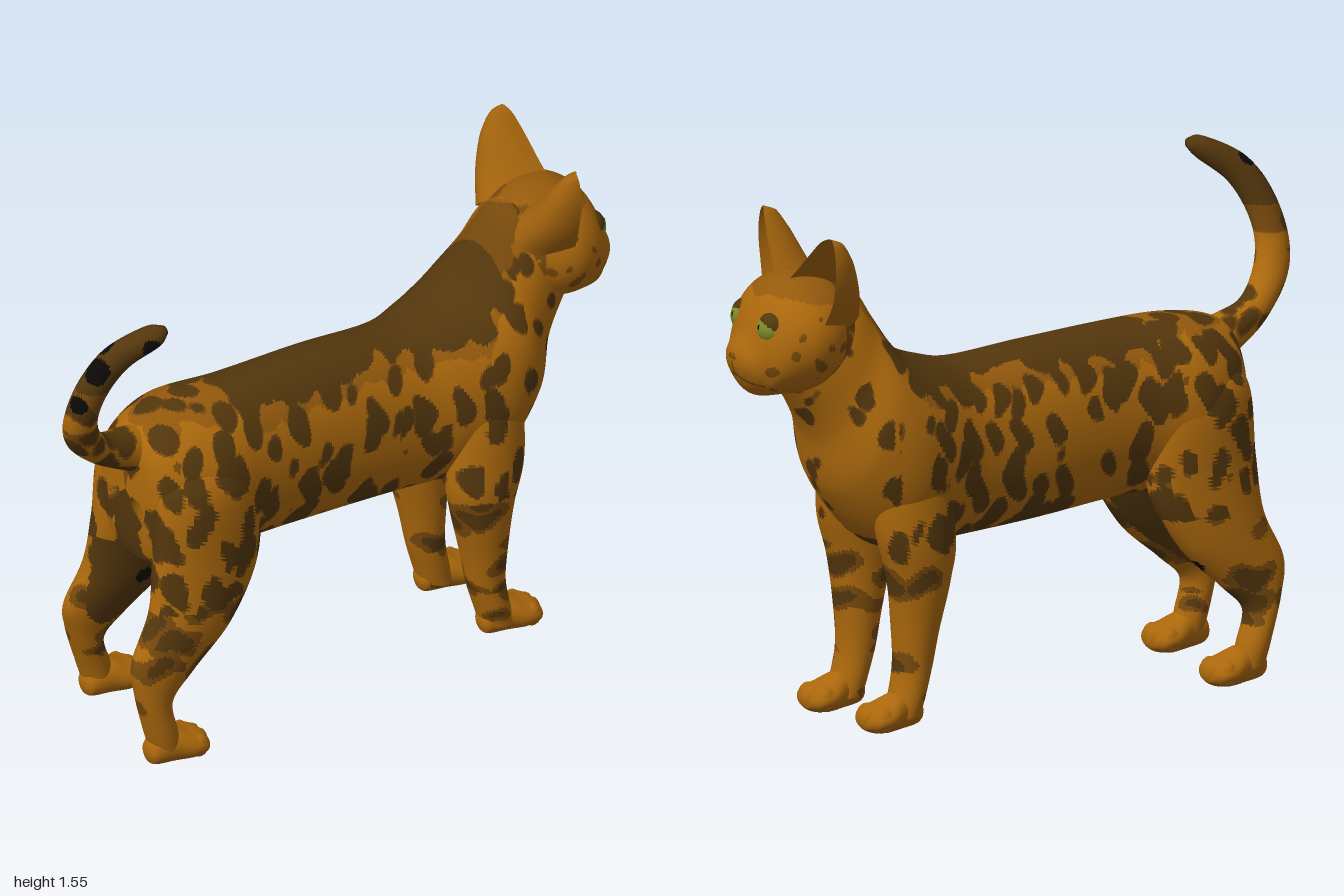
import * as THREE from 'three';

const mat = (name, color) => Object.assign(new THREE.MeshStandardMaterial({ color }), { name });
const ORANGE = 0, BROWN = 1, DARK = 2, BLACK = 3, TAWNY = 4;

// Seeded spots: distance to the nearest jittered cell point, warped a little
const hash = (x, y, z) => {
  let h = Math.imul(x, 374761393) ^ Math.imul(y, 668265263) ^ Math.imul(z, 1274126177);
  h = Math.imul(h ^ (h >>> 13), 1103515245);
  h = Math.imul(h ^ (h >>> 15), 747796405);
  return ((h ^ (h >>> 16)) >>> 0) / 4294967295;
};
function spot(x, y, z, cx, cy, cz) {
  const p = [(x + 0.012 * Math.sin(y * 37 + z * 21)) / cx, (y + 0.015 * Math.sin(x * 41 + z * 13)) / cy, z / cz];
  const c = p.map(Math.floor);
  let best = 9;
  for (let k = 0; k < 27; k++) {
    const q = [c[0] + (k % 3) - 1, c[1] + (Math.floor(k / 3) % 3) - 1, c[2] + Math.floor(k / 9) - 1];
    const d = q.map((v, i) => v + hash(q[0] + i * 57, q[1] + i * 113, q[2] + 9) - p[i]);
    best = Math.min(best, Math.hypot(...d));
  }
  return best;
}
const near = (x, y, z, [a, b, c, r]) => Math.hypot(x - a, y - b, z - c) < r;

// Coat rules: position -> colour index
function bodyCoat(x, y, z) {
  const az = Math.abs(z);
  // black mark on one hind leg, dark inner thighs and seat
  if (near(x, y, z, [-0.48, 0.37, -0.2, 0.026]) || near(x, y, z, [-0.56, 0.46, -0.1, 0.03])) return BLACK;
  if (x < -0.36 && y > 0.24 && y < 0.62 && z > -0.17 && z < 0.13) return DARK;
  if (x < -0.68 && y < 0.85 && az < 0.06) return DARK;
  // bars on the lower legs
  if (y < 0.52 && az > 0.02) {
    const d = spot(x, y, z, 0.19, 0.1, 0.19);
    const r = y < 0.18 ? 0.25 : 0.47;
    return d > r ? ORANGE : d > r - 0.13 ? BROWN : DARK;
  }
  const d = spot(x, y, z, 0.077, 0.135, 0.1);
  const edge = 0.08 * (0.5 - d);
  // back stripe, nape and the shaded fur beside them
  const line = x < -0.38 ? 1.12 : Math.max(1.025, 1.07 + (x - 0.5) * 1.9);
  if (y + edge > line) return x < 0.57 ? DARK : BROWN;
  // belly
  if (x > -0.33 && x < 0.33 && y - edge < 0.575) return d < 0.5 ? DARK : BROWN;
  const r = x > 0.6 ? 0.32 : x > 0.42 ? 0.43 : 0.5;
  if (d < r) return DARK;
  if (d < r + 0.03) return BROWN;
  return y + edge > (x < -0.38 ? 1.05 : line - 0.04) ? TAWNY : ORANGE;
}
const tailMarks = [[-0.95, 1.43, 0.16, 0.045], [-0.9, 1.5, 0.13, 0.035], [-0.98, 1.31, 0.12, 0.03], [-0.8, 1.5, 0.24, 0.028]];
function tailCoat(x, y, z) {
  if (tailMarks.some(m => near(x, y, z, m))) return BLACK;
  const d = spot(x, y, z, 0.1, 0.09, 0.1);
  if (y < 1.27 && d > 0.53) return ORANGE;
  return d > 0.46 && y < 1.35 ? BROWN : DARK;
}
function headCoat(x, y, z) {
  const az = Math.abs(z);
  // nose and mouth
  if (x > 0.17 && y > -0.07 && y < -0.047 && az < 0.024 + (y + 0.047) * 0.6) return BROWN;
  if (x > 0.1 && y < -0.06 && y > -0.105 && az < 0.004) return BROWN;
  if (x > 0.06 && az < 0.095 && Math.abs(y + 0.105 + az * 0.3) < 0.0045) return BROWN;
  // nape, crown and cheek marks
  const d = spot(x, y, az, 0.09, 0.08, 0.09);
  if (x < -0.09 && d < 0.6) return BROWN;
  if (y + 0.04 * d > 0.15) return TAWNY;
  return d < 0.25 && az > 0.1 && y < 0.1 ? BROWN : ORANGE;
}

// Smooth skin through oval rings [ax, ay, bx, by, z, halfWidth]; a and b are opposite edge points
function loft(name, rings, n, m, coat, mats, power = 1) {
  const curve = f => new THREE.CatmullRomCurve3(rings.map(r => new THREE.Vector3(...f(r))), false, 'catmullrom');
  const A = curve(r => [r[0], r[1], r[4]]), B = curve(r => [r[2], r[3], r[5]]);
  const middle = curve(r => [(r[0] + r[2]) / 2, (r[1] + r[3]) / 2, r[4]]);
  const pos = [], tris = mats.map(() => []);
  const pw = c => Math.sign(c) * Math.abs(c) ** power;
  for (let i = 0; i <= m; i++) {
    const u = middle.getUtoTmapping(i / m), a = A.getPoint(u), b = B.getPoint(u), w = Math.max(b.z, 0.002);
    for (let j = 0; j < n; j++) {
      const t = (j / n) * Math.PI * 2, c = pw(Math.cos(t)) / 2;
      pos.push((a.x + b.x) / 2 + (a.x - b.x) * c, (a.y + b.y) / 2 + (a.y - b.y) * c, a.z + w * pw(Math.sin(t)));
    }
  }
  const end = pos.length / 3;
  for (const r of [rings[0], rings.at(-1)]) pos.push((r[0] + r[2]) / 2, (r[1] + r[3]) / 2, r[4]);
  const add = (...v) => {
    const p = [0, 1, 2].map(k => v.reduce((s, q) => s + pos[q * 3 + k], 0) / 3);
    tris[coat(...p)].push(...v);
  };
  for (let j = 0; j < n; j++) {
    const k = (j + 1) % n;
    add(end, k, j);
    add(end + 1, m * n + j, m * n + k);
    for (let i = 0; i < m; i++) {
      const a = i * n + j, b = i * n + k;
      add(a, b, a + n);
      add(b, b + n, a + n);
    }
  }
  const g = new THREE.BufferGeometry();
  g.setAttribute('position', new THREE.Float32BufferAttribute(pos, 3));
  g.setIndex(tris.flat());
  let start = 0;
  tris.forEach((t, i) => { if (t.length) g.addGroup(start, t.length, i); start += t.length; });
  g.computeVertexNormals();
  return Object.assign(new THREE.Mesh(g, mats), { name });
}

// Cupped ear: half-oval sections between an outer and an inner edge
function ear(side, material) {
  const curve = p => new THREE.CatmullRomCurve3(p.map(q => new THREE.Vector3(q[0], q[1], q[2] * side)));
  const O = curve([[0, 0.03, 0.185], [-0.015, 0.14, 0.243], [-0.015, 0.25, 0.262], [-0.015, 0.315, 0.247], [-0.015, 0.333, 0.23]]);
  const I = curve([[0.04, 0.16, 0.03], [0.03, 0.2, 0.075], [0.015, 0.27, 0.145], [0, 0.32, 0.195], [-0.01, 0.333, 0.22]]);
  const g = new THREE.PlaneGeometry(1, 1, 24, 24), p = g.attributes.position, uv = g.attributes.uv;
  for (let i = 0; i < p.count; i++) {
    const t = uv.getY(i), f = uv.getX(i) * Math.PI;
    const q = I.getPoint(t).lerp(O.getPoint(t), (1 + Math.cos(f)) / 2);
    p.setXYZ(i, q.x - 0.18 * (1 - t) * Math.sin(f), q.y, q.z);
  }
  g.computeVertexNormals();
  return Object.assign(new THREE.Mesh(g, material), { name: side > 0 ? 'leftEar' : 'rightEar' });
}

export function createModel() {
  const cat = new THREE.Group();
  cat.name = 'cat';
  const coat = [
    mat('orangeFur', 0xab680c), mat('brownFur', 0x76480c), mat('darkFur', 0x53360c),
    mat('black', 0x0c0a08), mat('tawnyFur', 0x94590c),
  ];
  const earFur = mat('earFur', 0xa0610c);
  earFur.side = THREE.DoubleSide;
  const green = mat('eyeGreen', 0x7c8a28);
  const ball = (name, r, m, p, s, n = 20) => {
    const b = new THREE.Mesh(new THREE.SphereGeometry(r, n, n * 0.7), m);
    b.name = name;
    b.position.set(...p);
    b.scale.set(...s);
    return b;
  };

  // Torso and neck
  cat.add(loft('torso', [
    [-0.715, 0.93, -0.715, 0.8, 0, 0.03], [-0.705, 1.03, -0.705, 0.68, 0, 0.12],
    [-0.65, 1.075, -0.66, 0.6, 0, 0.19], [-0.5, 1.1, -0.5, 0.57, -0.01, 0.235],
    [-0.3, 1.1, -0.32, 0.575, 0, 0.2], [0, 1.09, 0, 0.55, 0, 0.19],
    [0.25, 1.075, 0.25, 0.535, 0.01, 0.19], [0.38, 1.1, 0.4, 0.53, 0.015, 0.22],
    [0.48, 1.14, 0.56, 0.55, 0.02, 0.245], [0.53, 1.19, 0.7, 0.72, 0.03, 0.23],
    [0.575, 1.27, 0.75, 0.9, 0.045, 0.185], [0.63, 1.36, 0.82, 1.03, 0.055, 0.16],
    [0.7, 1.38, 0.88, 1.1, 0.06, 0.12],
  ], 128, 230, bodyCoat, coat, 0.92));

  // Tail
  cat.add(loft('tail', [
    [-0.64, 0.9, -0.6, 1.05, 0, 0.08], [-0.74, 0.945, -0.7, 1.07, 0, 0.065],
    [-0.86, 1.02, -0.8, 1.095, 0.02, 0.055], [-0.97, 1.13, -0.87, 1.165, 0.06, 0.052],
    [-1, 1.24, -0.895, 1.25, 0.09, 0.05], [-0.97, 1.38, -0.88, 1.34, 0.125, 0.047],
    [-0.9, 1.49, -0.84, 1.42, 0.165, 0.045], [-0.79, 1.552, -0.77, 1.485, 0.215, 0.04],
    [-0.745, 1.55, -0.74, 1.52, 0.23, 0.015],
  ], 36, 100, tailCoat, coat));

  // Paw with softly marked toes and a black pad; x is the heel, z the centre
  const paw = (name, x, z) => {
    const g = new THREE.Group();
    g.name = name;
    const pad = (px, py, pz) => (py < 0.014 && Math.hypot((px - x - 0.125) / 0.06, (pz - z) / 0.055) < 1 ? BLACK : ORANGE);
    g.add(loft('foot', [
      [x, 0.07, x, 0.04, z, 0.02], [x + 0.015, 0.1, x + 0.015, 0.015, z, 0.038],
      [x + 0.08, 0.12, x + 0.08, 0.006, z, 0.056], [x + 0.135, 0.1, x + 0.135, 0.004, z, 0.076],
      [x + 0.18, 0.085, x + 0.18, 0.01, z, 0.07], [x + 0.203, 0.06, x + 0.203, 0.025, z, 0.03],
    ], 40, 28, pad, coat));
    for (const k of [-1.5, -0.5, 0.5, 1.5])
      g.add(ball('toe', 0.03, coat[ORANGE], [x + 0.176 - k * k * 0.009, 0.05, z + k * 0.034], [1.05, 1.2, 0.8], 12));
    cat.add(g);
  };

  // Front legs
  for (const [side, zc, s] of [['left', 0, 1], ['right', 0.06, -1]]) {
    cat.add(loft(side + 'FrontLeg', [
      [0.57, 0.95, 0.46, 0.97, 0.12, 0.04], [0.62, 0.8, 0.38, 0.82, 0.155, 0.095],
      [0.615, 0.62, 0.355, 0.58, 0.182, 0.1], [0.575, 0.47, 0.375, 0.45, 0.185, 0.09],
      [0.555, 0.32, 0.413, 0.3, 0.18, 0.077], [0.55, 0.2, 0.435, 0.19, 0.178, 0.066],
      [0.568, 0.1, 0.462, 0.1, 0.18, 0.064], [0.59, 0.04, 0.48, 0.04, 0.18, 0.06],
    ].map(r => [...r.slice(0, 4), zc + s * r[4], r[5]]), 48, 90, bodyCoat, coat));
    paw(side + 'FrontPaw', 0.47, zc + s * 0.182);
  }

  // Hind legs: the right one stands further out and forward
  for (const [side, s, dx, dz] of [['left', 1, 0, 0], ['right', -1, 0.08, 0.075]]) {
    cat.add(loft(side + 'HindLeg', [
      [-0.45, 1.0, -0.6, 1.0, 0.11, 0.04, 0], [-0.36, 0.86, -0.69, 0.9, 0.14, 0.1, 0],
      [-0.345, 0.62, -0.715, 0.68, 0.15, 0.1, 0.1], [-0.45, 0.43, -0.74, 0.51, 0.165, 0.087, 0.3],
      [-0.6, 0.3, -0.815, 0.37, 0.175, 0.064, 0.6], [-0.685, 0.22, -0.81, 0.27, 0.18, 0.052, 0.8],
      [-0.67, 0.12, -0.775, 0.13, 0.18, 0.054, 1], [-0.65, 0.05, -0.75, 0.05, 0.18, 0.05, 1],
    ].map(([ax, ay, bx, by, z, w, f]) => [ax + dx * f, ay, bx + dx * f, by, s * (z + dz * f), w]), 48, 90, bodyCoat, coat));
    paw(side + 'HindPaw', -0.77 + dx * 1.1, s * (0.18 + dz * 0.9));
  }

  // Head, turned slightly to its left
  const head = new THREE.Group();
  head.name = 'head';
  head.position.set(0.8, 1.22, 0.06);
  head.rotation.y = -0.15;
  head.add(loft('skull', [
    [-0.17, 0.06, -0.17, -0.02, 0, 0.03], [-0.15, 0.13, -0.14, -0.1, 0, 0.13],
    [-0.08, 0.178, -0.06, -0.16, 0, 0.195], [0, 0.19, 0, -0.175, 0, 0.217],
    [0.06, 0.175, 0.06, -0.177, 0, 0.203], [0.11, 0.14, 0.11, -0.178, 0, 0.17],
    [0.145, 0.085, 0.14, -0.172, 0, 0.125], [0.168, 0.02, 0.165, -0.15, 0, 0.095],
    [0.19, -0.018, 0.185, -0.115, 0, 0.068], [0.2, -0.04, 0.2, -0.08, 0, 0.025],
  ], 96, 90, headCoat, coat));
  for (const s of [1, -1]) {
    head.add(ear(s, earFur));
    head.add(ball('eyeRim', 0.053, coat[DARK], [0.099, 0.052, s * 0.09], [1, 0.88, 1]));
    head.add(ball('eye', 0.052, green, [0.105, 0.042, s * 0.088], [1, 0.95, 1]));
    head.add(ball('pupil', 0.052, coat[BLACK], [0.1075, 0.05, s * 0.0885], [1, 0.45, 0.13]));
  }
  cat.add(head);
  return cat;
}
